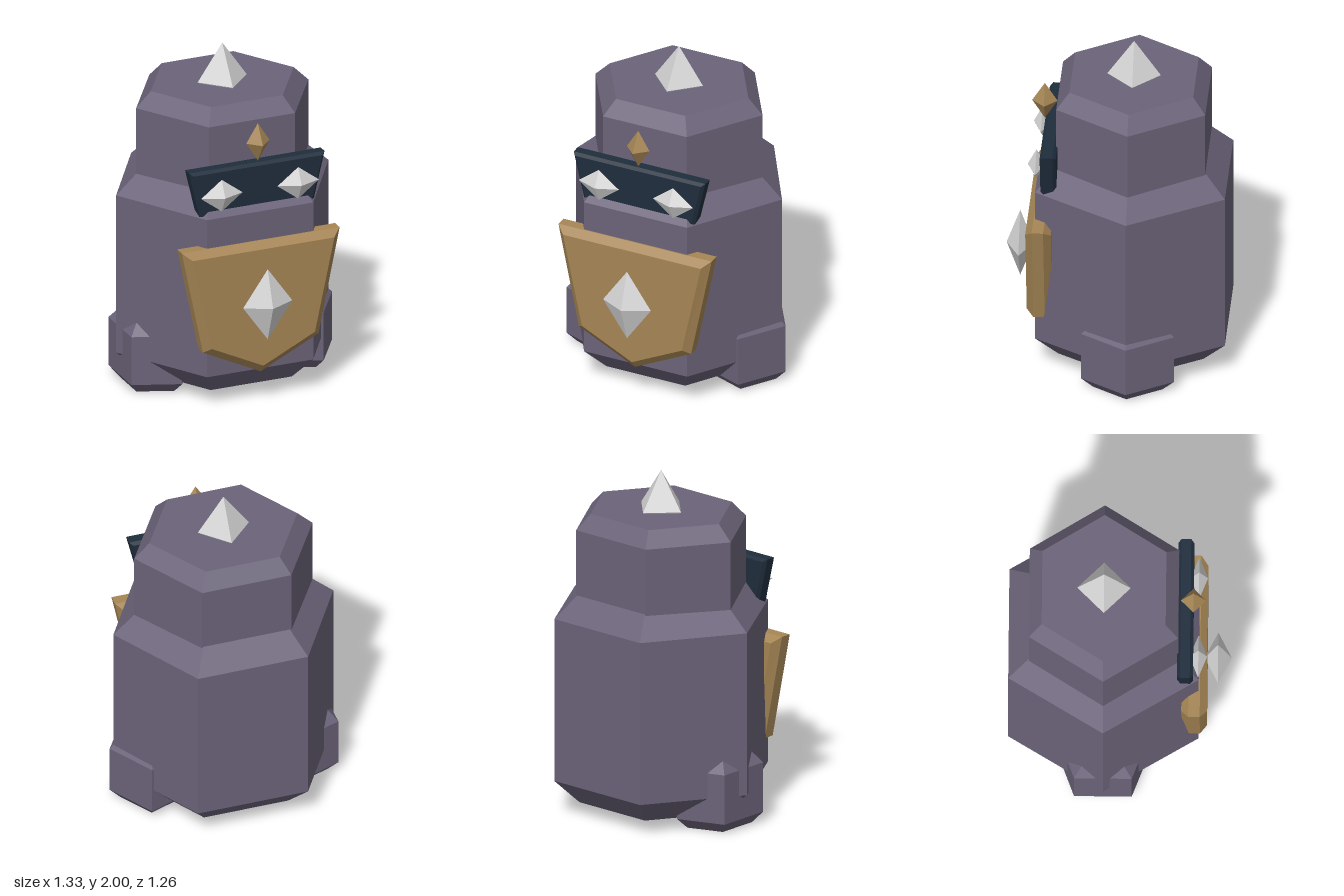
import * as THREE from 'three';

const material = (name, color) => {
  const m = new THREE.MeshStandardMaterial({ color, flatShading: true });
  m.name = name;
  return m;
};

export function createModel() {
  const stone = material('purple stone', 0x6b6379);
  const gold = material('dull gold', 0xa68655);
  const navy = material('dark navy', 0x1f2d3c);
  const crystal = material('pale crystal', 0xd4d4d4);

  const CX = -0.012, CZ = -0.092;
  const model = new THREE.Group();
  model.name = 'stoneGuardian';

  const add = (name, geometry, mat, x = 0, y = 0, z = 0) => {
    const mesh = new THREE.Mesh(geometry, mat);
    mesh.name = name;
    mesh.position.set(x, y, z);
    model.add(mesh);
    return mesh;
  };

  // Closed prism with a corner towards +x; rings are [radius ratio, height]
  const prism = (sides, rx, rz, rings) => {
    const pts = [[0, rings[0][1]], ...rings, [0, rings[rings.length - 1][1]]];
    return new THREE.LatheGeometry(pts.map(([r, y]) => new THREE.Vector2(r, y)), sides, Math.PI / 2)
      .scale(rx, 1, rz);
  };

  // Plate with chamfered edges; outline is given at the flat faces
  const plate = (points, depth, bevelSize, bevelThickness) => {
    const shape = new THREE.Shape(points.map(([x, y]) => new THREE.Vector2(x, y)));
    return new THREE.ExtrudeGeometry(shape, {
      depth, bevelEnabled: true, bevelSegments: 1, bevelSize, bevelThickness,
    });
  };

  // Stretched octahedron
  const gem = (name, mat, x, y, z, hx, hy, hz) =>
    add(name, new THREE.OctahedronGeometry(1, 0).scale(hx, hy, hz), mat, x, y, z);

  // Body and head
  add('body', prism(6, 0.656, 0.623, [[0.765, 0.065], [1, 0.205], [1, 1.17], [0.765, 1.31]]), stone, CX, 0, CZ);
  add('head', prism(6, 0.532, 0.489, [[1, 1.2], [1, 1.685], [0.83, 1.775]]), stone, CX, 0, CZ);

  // Feet, both turned the same way
  for (const [name, side] of [['leftFoot', 1], ['rightFoot', -1]]) {
    add(name, prism(5, 0.2415, 0.278, [[0.75, 0], [1, 0.063], [1, 0.357], [0.75, 0.42]]),
      stone, CX + side * 0.437, 0, CZ);
  }

  // Chest plate
  add('chestPlate', plate([
    [-0.438, 0.955], [-0.318, 0.395], [0, 0.24], [0.318, 0.395], [0.438, 0.955],
  ], 0.065, 0.045, 0.04), gold, CX, 0, 0.39);

  // Visor
  add('visor', plate([
    [-0.399, 1.437], [-0.337, 1.183], [0.337, 1.183], [0.399, 1.437],
  ], 0.055, 0.018, 0.018), navy, CX, 0, 0.343);

  // Gems
  gem('topSpike', crystal, CX, 1.78, CZ, 0.152, 0.22, 0.152);
  gem('chestGem', crystal, CX, 0.64, 0.555, 0.152, 0.215, 0.077);
  gem('browGem', gold, CX, 1.585, 0.415, 0.072, 0.115, 0.072);
  for (const [name, side] of [['leftEye', 1], ['rightEye', -1]]) {
    gem(name, crystal, CX + side * 0.236, 1.305, 0.445, 0.128, 0.097, 0.05);
  }

  return model;
}
